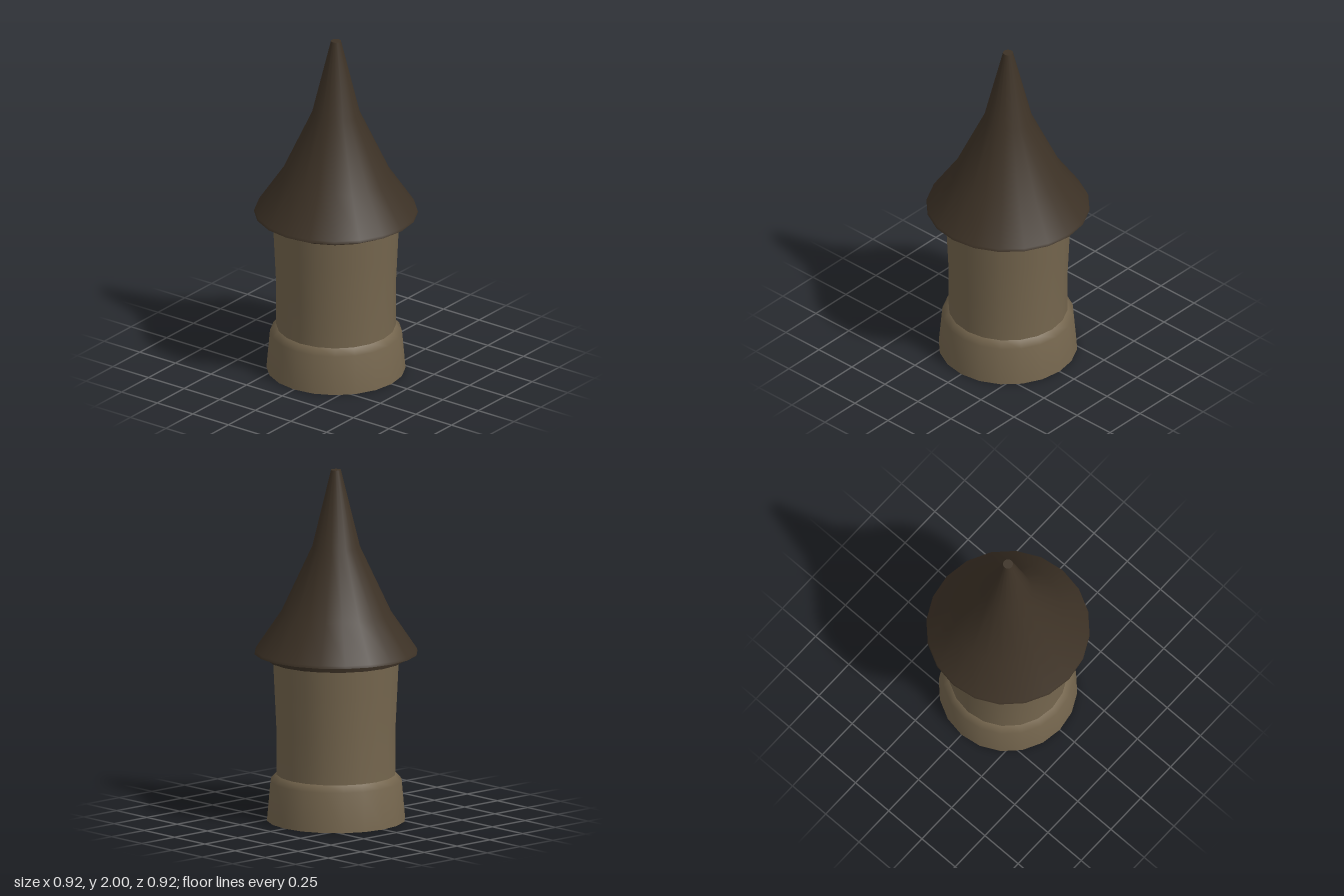
import * as THREE from 'three';

const SIDES = 20;

export function createModel() {
  const tower = new THREE.Group();
  tower.name = 'tower';

  const stone = new THREE.MeshStandardMaterial({ color: 0x75664e });
  stone.name = 'stone';
  const darkRoof = new THREE.MeshStandardMaterial({ color: 0x3d3226 });
  darkRoof.name = 'dark roof';

  // Turn a profile of [radius, height] points, listed from bottom to top
  const turn = (name, material, profile) => {
    const points = profile.map(([r, y]) => new THREE.Vector2(r, y));
    const mesh = new THREE.Mesh(new THREE.LatheGeometry(points, SIDES), material);
    mesh.name = name;
    tower.add(mesh);
  };

  // Dark underside closing the foot of the tower
  turn('underside', darkRoof, [[0, 0], [0.39, 0]]);

  // Battered plinth with a sloped ledge
  turn('plinth', stone, [[0.39, 0], [0.37, 0.225], [0.335, 0.262]]);

  // Shaft, straight below and flaring towards the eaves
  turn('shaft', stone, [[0.335, 0.262], [0.335, 0.5], [0.347, 0.75], [0.355, 0.92]]);

  // Collar under the roof
  turn('collarUnderside', darkRoof, [[0.35, 0.918], [0.387, 0.918]]);
  turn('collar', darkRoof, [[0.387, 0.918], [0.393, 0.955]]);

  // Overhanging eaves and the spire that steepens in three stages
  turn('eaves', darkRoof, [[0.39, 0.955], [0.46, 0.955]]);
  turn('spire', darkRoof, [[0.46, 0.955], [0.455, 0.97], [0.31, 1.185], [0.135, 1.56], [0.028, 2]]);
  turn('spireTip', darkRoof, [[0.028, 2], [0, 2]]);

  return tower;
}
